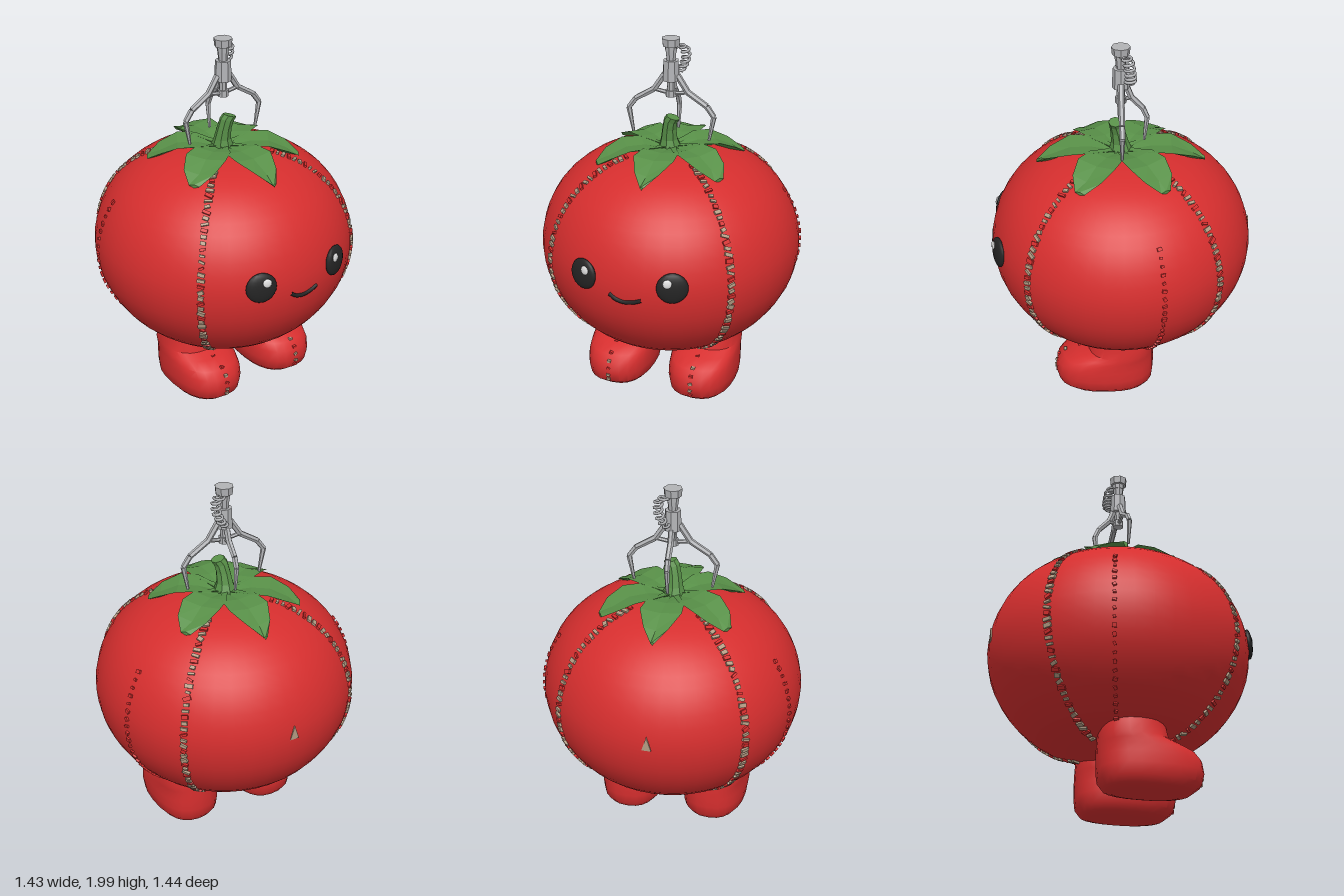
import * as THREE from 'three';
import { toCreasedNormals } from 'three/addons/utils/BufferGeometryUtils.js';

const V = (x, y, z) => new THREE.Vector3(x, y, z);
const material = (name, color) => Object.assign(new THREE.MeshStandardMaterial({ color }), { name });

// Small seeded generator for stitch irregularity
function seeded(seed) {
  return () => (seed = (seed * 16807) % 2147483647) / 2147483647;
}

// Skin closed rings of points (counter-clockwise seen from the end) with capped ends
function loft(rings) {
  const n = rings[0].length, pos = [], idx = [];
  const add = p => pos.push(p.x, p.y, p.z);
  rings.forEach(r => r.forEach(add));
  const centre = r => r.reduce((s, p) => s.add(p), V(0, 0, 0)).divideScalar(n);
  add(centre(rings[0]));
  add(centre(rings[rings.length - 1]));
  const c0 = rings.length * n, last = c0 - n;
  for (let j = 0; j < n; j++) {
    const k = (j + 1) % n;
    for (let i = 0; i < rings.length - 1; i++) {
      const a = i * n + j, b = i * n + k;
      idx.push(a, b, b + n, a, b + n, a + n);
    }
    idx.push(c0, k, j, c0 + 1, last + j, last + k);
  }
  const g = new THREE.BufferGeometry();
  g.setAttribute('position', new THREE.Float32BufferAttribute(pos, 3));
  g.setIndex(idx);
  g.computeVertexNormals();
  return g;
}

function flat(g) {
  const f = g.index ? g.toNonIndexed() : g;
  f.computeVertexNormals();
  return f;
}

export function createModel() {
  const root = new THREE.Group();
  root.name = 'tomatoPlush';
  const red = material('tomatoRed', 0xd62e2e), green = material('leafGreen', 0x589048);
  const metal = material('clawGrey', 0xb2b3b6), black = material('faceBlack', 0x242424);
  const tan = material('stitchTan', 0xb49c84), white = material('eyeShine', 0xe2e2e2);
  const rnd = seeded(77);

  function mesh(name, geometry, mat, parent = root) {
    const m = new THREE.Mesh(geometry, mat);
    m.name = name;
    parent.add(m);
    return m;
  }
  function group(name) {
    const g = new THREE.Group();
    g.name = name;
    root.add(g);
    return g;
  }

  // Body
  const profile = new THREE.SplineCurve([
    [0, 0.28], [0.2, 0.292], [0.38, 0.34], [0.51, 0.425], [0.61, 0.535], [0.685, 0.675], [0.715, 0.83],
    [0.702, 0.96], [0.655, 1.09], [0.57, 1.21], [0.44, 1.31], [0.3, 1.365], [0.15, 1.388], [0, 1.39],
  ].map(p => new THREE.Vector2(...p)));
  const outline = profile.getSpacedPoints(30);
  outline[0].x = outline[30].x = 0;
  mesh('body', new THREE.LatheGeometry(outline, 44), red);

  const radiusAt = y => {
    const i = Math.max(1, outline.findIndex(p => p.y >= y)), a = outline[i - 1], b = outline[i];
    return a.x + (b.x - a.x) * (y - a.y) / (b.y - a.y);
  };
  const onBody = (x, y, lift = 0) => V(x, y, Math.sqrt((radiusAt(y) + lift) ** 2 - x * x));

  // Body seams: rows of little stitches following the profile
  function seam(name, azimuth, from, to, count, size, colourAt) {
    const g = group(name);
    const side = V(Math.cos(azimuth), 0, -Math.sin(azimuth));
    for (let i = 0; i < count; i++) {
      const u = from + (to - from) * i / (count - 1);
      const p = profile.getPointAt(u), t = profile.getTangentAt(u);
      const along = V(t.x * Math.sin(azimuth), t.y, t.x * Math.cos(azimuth));
      const out = side.clone().cross(along).negate();
      const m = mesh('stitch', new THREE.BoxGeometry(size * (0.7 + 0.6 * rnd()), 0.012 + 0.012 * rnd(), 0.02), colourAt(i), g);
      m.quaternion.setFromRotationMatrix(new THREE.Matrix4().makeBasis(side, along, out.negate()));
      m.rotateZ((rnd() - 0.5) * 0.9);
      m.position.set(p.x * Math.sin(azimuth), p.y, p.x * Math.cos(azimuth));
    }
  }
  for (let k = 0; k < 4; k++) {
    seam('diagonalSeam', Math.PI / 4 + k * Math.PI / 2, 0.13, 0.87, 48, 0.034, i => (i % 3 === 2 ? red : tan));
  }
  for (const s of [-1, 1]) seam('sideSeam', s * 1.86, 0.2, 0.66, 22, 0.02, () => red);

  // Patch on the back
  const patch = mesh('backPatch', new THREE.CylinderGeometry(0.045, 0.045, 0.008, 3), tan);
  patch.rotation.x = -Math.PI / 2;
  patch.scale.set(0.65, 1, 1.2);
  patch.position.set(-0.03, 0.88, -0.713);

  // Eyes with highlights
  for (const s of [-1, 1]) {
    const eye = group(s > 0 ? 'leftEye' : 'rightEye');
    eye.position.copy(onBody(s * 0.243, 0.908));
    eye.rotation.set(-0.08, s * 0.35, 0, 'YXZ');
    mesh('pupil', new THREE.SphereGeometry(0.083, 16, 12), black, eye).scale.set(1, 1, 0.3);
    const shine = mesh('shine', new THREE.SphereGeometry(0.024, 10, 8), white, eye);
    shine.scale.z = 0.3;
    shine.position.set(-s * 0.026, 0.032, 0.022);
  }

  // Mouth
  const smile = new THREE.CatmullRomCurve3([[-0.085, 0.842], [-0.05, 0.817], [0, 0.807], [0.05, 0.815], [0.09, 0.83]]
    .map(([x, y]) => onBody(x, y, 0.001)));
  mesh('mouth', new THREE.TubeGeometry(smile, 16, 0.011, 6), black);

  // Boots: rows are [height, back z, front z, half width]
  const bootRows = [[0.01, -0.1, 0.26, 0.1], [0.025, -0.145, 0.32, 0.15], [0.06, -0.17, 0.365, 0.178], [0.12, -0.177, 0.38, 0.186],
    [0.18, -0.177, 0.37, 0.185], [0.22, -0.176, 0.335, 0.182], [0.25, -0.174, 0.26, 0.18], [0.275, -0.172, 0.195, 0.177],
    [0.33, -0.168, 0.182, 0.172], [0.4, -0.15, 0.165, 0.16]];
  const boot = toCreasedNormals(loft(bootRows.map(([y, z0, z1, w]) => Array.from({ length: 24 }, (_, j) => {
    const a = j / 24 * Math.PI * 2, c = Math.cos(a), s = -Math.sin(a);
    const round = v => Math.sign(v) * Math.abs(v) ** 0.82;
    return V(w * round(c), y, (z0 + z1) / 2 + (z1 - z0) / 2 * round(s));
  }))), 0.7);
  for (const s of [-1, 1]) {
    const leg = group(s > 0 ? 'leftLeg' : 'rightLeg');
    leg.position.x = s * 0.243;
    mesh('boot', boot, red, leg);
    // Stitches down the front of the boot
    for (const [y, z] of [[0.32, 0.184], [0.29, 0.19], [0.255, 0.24], [0.225, 0.325], [0.19, 0.362], [0.15, 0.374], [0.11, 0.378], [0.08, 0.372]]) {
      const m = mesh('bootStitch', new THREE.BoxGeometry(0.02, 0.014, 0.016), rnd() < 0.6 ? tan : red, leg);
      m.position.set(0, y, z);
      m.rotation.z = (rnd() - 0.5) * 1.2;
    }
  }

  // Calyx: six creased leaves, rows are [reach, half width, height]
  const leafGeometry = (reach, wide, tip) => flat(loft([
    [0, 0.03, 1.405], [0.18, 0.06, 1.415], [0.36, 0.1, 1.43], [0.6, 0.112, 1.428], [0.84, wide, 1.385], [1, tip, 1.335],
  ].map(([r, w, y], i) => [V(w, y, r * reach), V(0, y - (i < 5 ? 0.014 : -0.008), r * reach),
    V(-w, y, r * reach), V(0, y - (i < 5 ? 0.05 : 0.012), r * reach)])));
  const calyx = group('calyx');
  const longLeaf = leafGeometry(0.455, 0.066, 0.01), sideLeaf = leafGeometry(0.41, 0.085, 0.03);
  for (const a of [0, 57, 123, 180, 237, 303]) {
    mesh('leaf', a % 180 ? sideLeaf : longLeaf, green, calyx).rotation.y = THREE.MathUtils.degToRad(a);
  }
  mesh('stem', flat(loft([[-0.005, 1.39, 0, 0.065], [-0.008, 1.44, 0.005, 0.047], [-0.004, 1.5, 0.015, 0.04], [0.006, 1.55, 0.025, 0.037],
    [0.022, 1.575, 0.03, 0.036]].map(([x, y, z, r], i) => Array.from({ length: 8 }, (_, j) => {
    const a = j / 4 * Math.PI;
    return V(x + r * Math.cos(a), y - (i > 2 ? 0.3 * r * Math.cos(a) : 0), z - r * Math.sin(a));
  })))), green, calyx);

  // Claw: hub, cable and three bent prongs
  const claw = group('claw');
  const drum = (name, y0, y1, r0, r1) => mesh(name, flat(new THREE.CylinderGeometry(r1, r0, y1 - y0, 8)), metal, claw)
    .position.set(0, (y0 + y1) / 2, 0);
  drum('topCap', 1.958, 2, 0.046, 0.05);
  drum('neck', 1.93, 1.96, 0.032, 0.034);
  drum('joint', 1.87, 1.932, 0.024, 0.03);
  drum('hub', 1.77, 1.88, 0.047, 0.042);
  drum('lowerRod', 1.7, 1.775, 0.02, 0.024);
  drum('lowerCollar', 1.68, 1.715, 0.03, 0.03);

  function rod(a, b, r0, r1, parent) {
    const d = b.clone().sub(a);
    const m = mesh('rod', flat(new THREE.CylinderGeometry(r1, r0, d.length(), 6)), metal, parent);
    m.position.copy(a).addScaledVector(d, 0.5);
    m.quaternion.setFromUnitVectors(V(0, 1, 0), d.normalize());
  }
  const prong = [[0.035, 1.8], [0.095, 1.71], [0.2, 1.645], [0.24, 1.59], [0.215, 1.455]];
  for (const [name, angle, reach] of [['leftProng', 0, 1], ['rightProng', Math.PI, 1], ['backProng', Math.PI / 2, 0.58]]) {
    const g = new THREE.Group();
    g.name = name;
    g.rotation.y = angle;
    claw.add(g);
    const pts = prong.map(([x, y]) => V(x * reach, y, 0));
    for (let i = 0; i < 4; i++) rod(pts[i], pts[i + 1], 0.018 - i * 0.001, i === 3 ? 0.008 : 0.017 - i * 0.001, g);
    rod(V(0, 1.695, 0), pts[1], 0.011, 0.011, g);
  }

  // Coiled cable beside the hub
  const spine = new THREE.CatmullRomCurve3([V(0.02, 1.955, -0.02), V(0.06, 1.945, -0.035), V(0.068, 1.89, -0.045), V(0.045, 1.83, -0.05), V(0.02, 1.8, -0.04)]);
  const coil = Array.from({ length: 64 }, (_, i) => {
    const u = i / 63, a = u * Math.PI * 14;
    return spine.getPointAt(u).add(V(0.02 * Math.cos(a), 0, 0.026 * Math.sin(a)));
  });
  mesh('cable', new THREE.TubeGeometry(new THREE.CatmullRomCurve3(coil), 110, 0.008, 5), metal, claw);

  return root;
}
